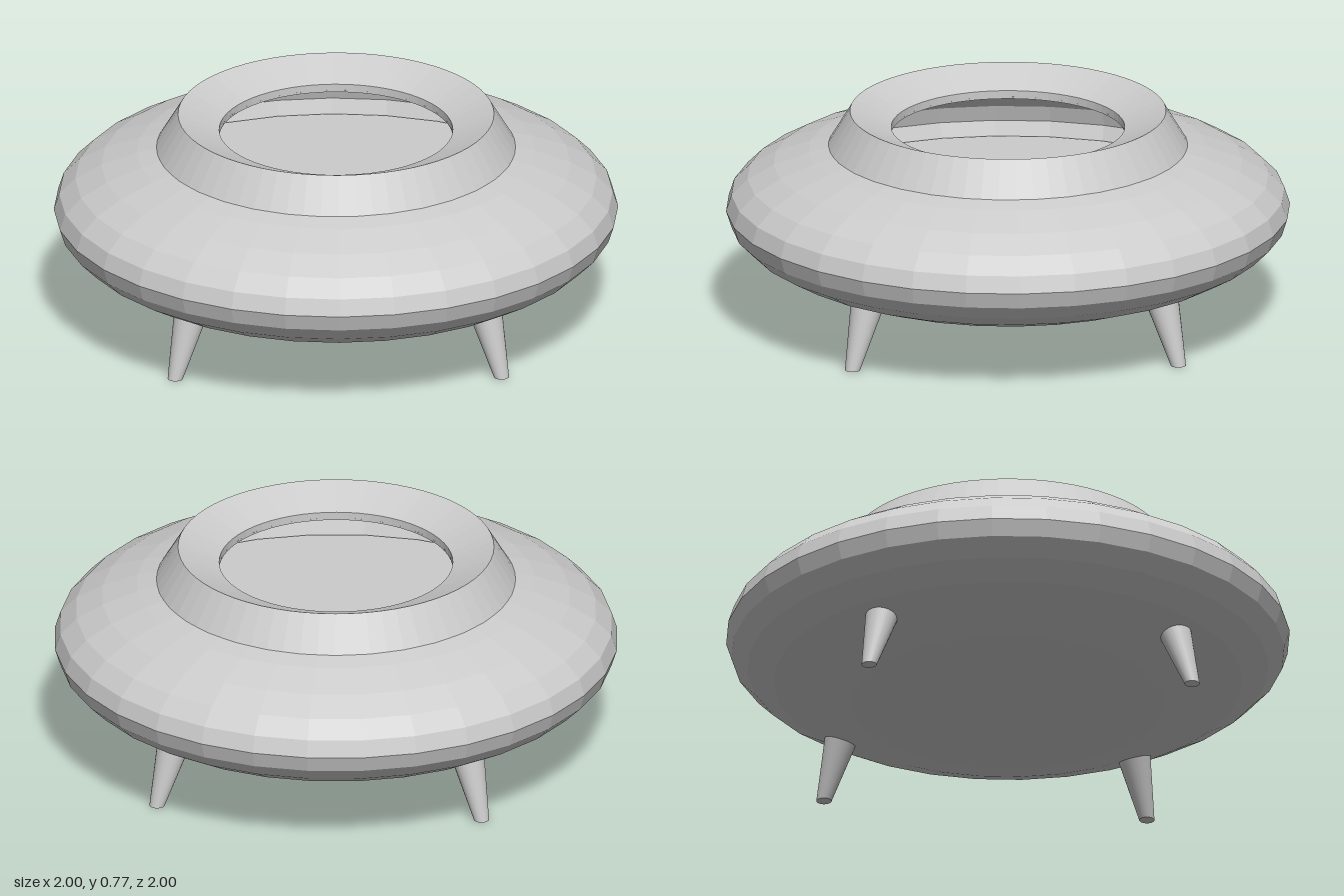
import * as THREE from 'three';

const grey = (options = {}) => new THREE.MeshStandardMaterial({ color: 0xcccccc, ...options });

function addMesh(parent, name, geometry, material) {
  const mesh = new THREE.Mesh(geometry, material);
  mesh.name = name;
  parent.add(mesh);
  return mesh;
}

export function createModel() {
  const model = new THREE.Group();
  model.name = 'saucer';

  // Hollow squashed-sphere hull, open at the top
  const centreY = 0.41, halfHeight = 0.305, rows = 16;
  const hullPoints = [];
  for (let i = 0; i <= rows - 2; i++) {
    const a = i === rows - 2 ? Math.PI - 0.428 : (i / rows) * Math.PI;
    hullPoints.push(new THREE.Vector2(Math.sin(a), centreY - halfHeight * Math.cos(a)));
  }
  addMesh(model, 'hull', new THREE.LatheGeometry(hullPoints, 32),
    grey({ flatShading: true, side: THREE.DoubleSide }));

  // Flat floor inside the hull
  const floor = addMesh(model, 'floor', new THREE.CircleGeometry(0.975, 32), grey({ side: THREE.DoubleSide }));
  floor.rotation.x = -Math.PI / 2;
  floor.position.y = 0.36;

  // Collar: sloped outside, funnel inside and a short lip down to the hull
  const collarPoints = [[0.65, 0.62], [0.56, 0.77], [0.414, 0.71], [0.414, 0.68]]
    .map(([r, y]) => new THREE.Vector2(r, y));
  addMesh(model, 'collar', new THREE.LatheGeometry(collarPoints, 64),
    grey({ flatShading: true, side: THREE.DoubleSide }));

  // Four tapered legs, leaning outwards with level feet
  const legHeight = 0.3;
  const legGeometry = new THREE.CylinderGeometry(0.072, 0.027, legHeight, 24);
  legGeometry.translate(0, legHeight / 2, 0);
  const lean = new THREE.Matrix4().set(
    1, 0, 0, 0,
    0, 1, 0, 0,
    0, -0.355, 1, 0.817,
    0, 0, 0, 1);
  legGeometry.applyMatrix4(lean);
  const legMaterial = grey();
  ['frontLeg', 'leftLeg', 'backLeg', 'rightLeg'].forEach((name, i) => {
    addMesh(model, name, legGeometry, legMaterial).rotation.y = (i * Math.PI) / 2;
  });

  return model;
}
